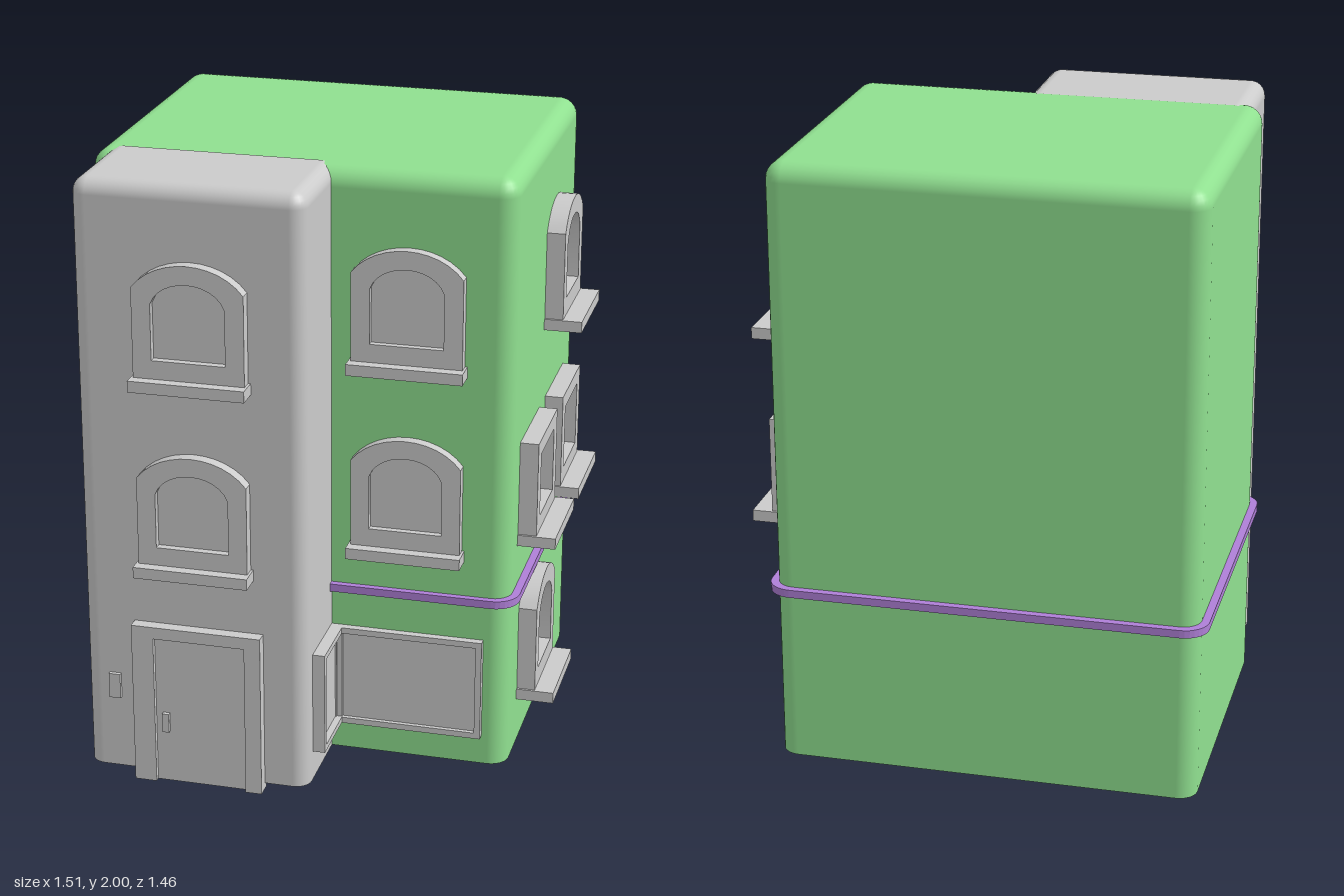
import * as THREE from 'three';
import { toCreasedNormals } from 'three/addons/utils/BufferGeometryUtils.js';

const grey = new THREE.MeshStandardMaterial({ color: 0xcccccc });
const greyShell = new THREE.MeshStandardMaterial({ color: 0xcccccc, side: THREE.DoubleSide });
const green = new THREE.MeshStandardMaterial({ color: 0x90e090, side: THREE.DoubleSide });
const purple = new THREE.MeshStandardMaterial({ color: 0xb080d8 });

function add(parent, name, geometry, material = grey) {
  const mesh = new THREE.Mesh(geometry, material);
  mesh.name = name;
  parent.add(mesh);
  return mesh;
}

// box given by its limits
function box(parent, name, x0, x1, y0, y1, z0, z1) {
  const g = new THREE.BoxGeometry(x1 - x0, y1 - y0, z1 - z0);
  g.translate((x0 + x1) / 2, (y0 + y1) / 2, (z0 + z1) / 2);
  return add(parent, name, g);
}

// Hollow block, open below, with rounded upright and top edges; openBack leaves out the rear wall
function shell(x0, x1, z0, z1, y0, y1, r, openBack) {
  const n = 6, outline = [];
  const corner = (x, z, start) => {
    for (let i = 0; i <= n; i++) {
      const a = start + (i / n) * Math.PI / 2;
      outline.push([x, z, Math.cos(a), Math.sin(a)]);
    }
  };
  if (openBack) outline.push([x1 - r, z0, 1, 0]);
  corner(x1 - r, z1 - r, 0);
  corner(x0 + r, z1 - r, Math.PI / 2);
  if (openBack) outline.push([x0 + r, z0, -1, 0]);
  else {
    corner(x0 + r, z0 + r, Math.PI);
    corner(x1 - r, z0 + r, Math.PI * 1.5);
    outline.push(outline[0]);
  }
  const rings = [[y0, 0]];
  for (let i = 0; i <= n; i++) {
    const t = (i / n) * Math.PI / 2;
    rings.push([y1 - r + r * Math.sin(t), t]);
  }
  const pos = [], nor = [], idx = [], m = outline.length;
  for (const [y, t] of rings) {
    for (const [x, z, dx, dz] of outline) {
      const c = Math.cos(t);
      pos.push(x + dx * r * c, y, z + dz * r * c);
      nor.push(dx * c, Math.sin(t), dz * c);
    }
  }
  for (let j = 0; j < rings.length - 1; j++) {
    for (let i = 0; i < m - 1; i++) {
      const a = j * m + i, b = a + m;
      idx.push(a, b, a + 1, a + 1, b, b + 1);
    }
  }
  // flat roof as a fan
  const hub = pos.length / 3, top = (rings.length - 1) * m;
  pos.push((x0 + x1) / 2, y1, openBack ? z0 : (z0 + z1) / 2);
  nor.push(0, 1, 0);
  for (let i = 0; i < m - 1; i++) idx.push(hub, top + i + 1, top + i);
  const g = new THREE.BufferGeometry();
  g.setAttribute('position', new THREE.Float32BufferAttribute(pos, 3));
  g.setAttribute('normal', new THREE.Float32BufferAttribute(nor, 3));
  g.setIndex(idx);
  return g;
}

function extrude(shape, depth) {
  const g = new THREE.ExtrudeGeometry(shape, { depth, bevelEnabled: false, curveSegments: 12 });
  return toCreasedNormals(g, 0.6);
}

// opening outline: straight sides to shoulder s, then an arch up to h
function arch(w, y0, s, h, k, T = THREE.Shape) {
  const p = new T(), c = s + (h - s) / 0.75;
  p.moveTo(-w / 2, y0);
  p.lineTo(w / 2, y0);
  p.lineTo(w / 2, s);
  if (h > s) p.bezierCurveTo(w * k, c, -w * k, c, -w / 2, s);
  else p.lineTo(-w / 2, s);
  p.closePath();
  return p;
}

// Window facing +z, standing on its sill at the origin
function makeWindow({ w, inner = 0.235, arched = true, depth, sill }) {
  const win = new THREE.Group();
  win.name = arched ? 'archedWindow' : 'squareWindow';
  const opening = T => arched ? arch(inner, 0.06, 0.24, 0.31, 0.36, T) : arch(inner, 0.05, 0.265, 0.265, 0, T);
  const frame = arched ? arch(w, 0, 0.29, 0.37, 0.27) : arch(w, 0, 0.315, 0.315, 0);
  frame.holes.push(opening(THREE.Path));
  add(win, 'windowFrame', extrude(frame, depth + 0.02)).position.z = -0.02;
  add(win, 'windowPane', extrude(opening(THREE.Shape), 0.03)).position.z = -0.015;
  box(win, 'windowSill', -w / 2 - 0.008, w / 2 + 0.008, -0.037, 0, -0.02, sill);
  return win;
}

// Rectangular display window facing +z, from its lower corner
function shopWindow(w, h, depth) {
  const g = new THREE.Group();
  g.name = 'shopWindow';
  const b = 0.02;
  const s = new THREE.Shape([[0, 0], [w, 0], [w, h], [0, h]].map(p => new THREE.Vector2(...p)));
  s.holes.push(new THREE.Path([[b, b], [w - b, b], [w - b, h - b], [b, h - b]].map(p => new THREE.Vector2(...p))));
  add(g, 'shopFrame', extrude(s, depth + 0.02)).position.z = -0.02;
  box(g, 'shopPane', b, w - b, b, h - b, -0.015, depth * 0.45);
  return g;
}

function roundedRect(x0, x1, z0, z1, r, T) {
  const p = new T();
  p.moveTo(x0 + r, z0);
  p.lineTo(x1 - r, z0);
  p.absarc(x1 - r, z0 + r, r, -Math.PI / 2, 0);
  p.absarc(x1 - r, z1 - r, r, 0, Math.PI / 2);
  p.absarc(x0 + r, z1 - r, r, Math.PI / 2, Math.PI);
  p.absarc(x0 + r, z0 + r, r, Math.PI, Math.PI * 1.5);
  return p;
}

export function createModel() {
  const model = new THREE.Group();
  model.name = 'townHouse';

  // main block and stair tower
  add(model, 'mainBlock', shell(-0.73, 0.63, -0.705, 0.35, 0.02, 1.998, 0.06, false), green);
  add(model, 'tower', shell(-0.69, 0.048, 0.28, 0.655, 0.02, 2, 0.05, true), greyShell);

  // band around the main block
  const band = roundedRect(-0.755, 0.655, -0.73, 0.372, 0.08, THREE.Shape);
  band.holes.push(roundedRect(-0.72, 0.62, -0.695, 0.34, 0.05, THREE.Path));
  const ring = new THREE.ExtrudeGeometry(band, { depth: 0.026, bevelEnabled: false, curveSegments: 4 });
  ring.rotateX(Math.PI / 2);
  add(model, 'band', ring, purple).position.y = 0.615;

  // front windows on two floors
  for (const y of [0.77, 1.393]) {
    const tower = makeWindow({ w: 0.355, depth: 0.04, sill: 0.075 });
    tower.position.set(-0.31, y, 0.655);
    const main = makeWindow({ w: 0.355, depth: 0.037, sill: 0.073 });
    main.position.set(0.297, y, 0.35);
    model.add(tower, main);
  }

  // windows on the +x wall: [z, y, arched]
  for (const [z, y, arched] of [[-0.315, 1.393, true], [0.06, 0.79, false], [-0.365, 0.79, false], [0.01, 0.215, true]]) {
    const win = makeWindow({ w: 0.322, inner: 0.22, arched, depth: 0.06, sill: 0.123 });
    win.rotation.y = Math.PI / 2;
    win.position.set(0.63, y, z);
    model.add(win);
  }

  // shop windows meeting in the corner beside the tower
  const shopFront = shopWindow(0.5, 0.345, 0.026);
  shopFront.position.set(0.05, 0.12, 0.35);
  const shopSide = shopWindow(0.24, 0.345, 0.04);
  shopSide.rotation.y = Math.PI / 2;
  shopSide.position.set(0.048, 0.12, 0.59);
  model.add(shopFront, shopSide);

  // entrance
  const door = new THREE.Group();
  door.name = 'entrance';
  box(door, 'doorPostRight', -0.52, -0.448, 0, 0.55, 0.64, 0.695);
  box(door, 'doorPostLeft', -0.148, -0.095, 0, 0.55, 0.64, 0.695);
  box(door, 'doorLintel', -0.448, -0.148, 0.51, 0.55, 0.64, 0.695);
  box(door, 'doorLeaf', -0.448, -0.148, 0, 0.51, 0.64, 0.678);
  box(door, 'doorHandle', -0.425, -0.403, 0.18, 0.245, 0.67, 0.692);
  box(door, 'doorBell', -0.61, -0.572, 0.27, 0.355, 0.645, 0.668);
  model.add(door);

  return model;
}
